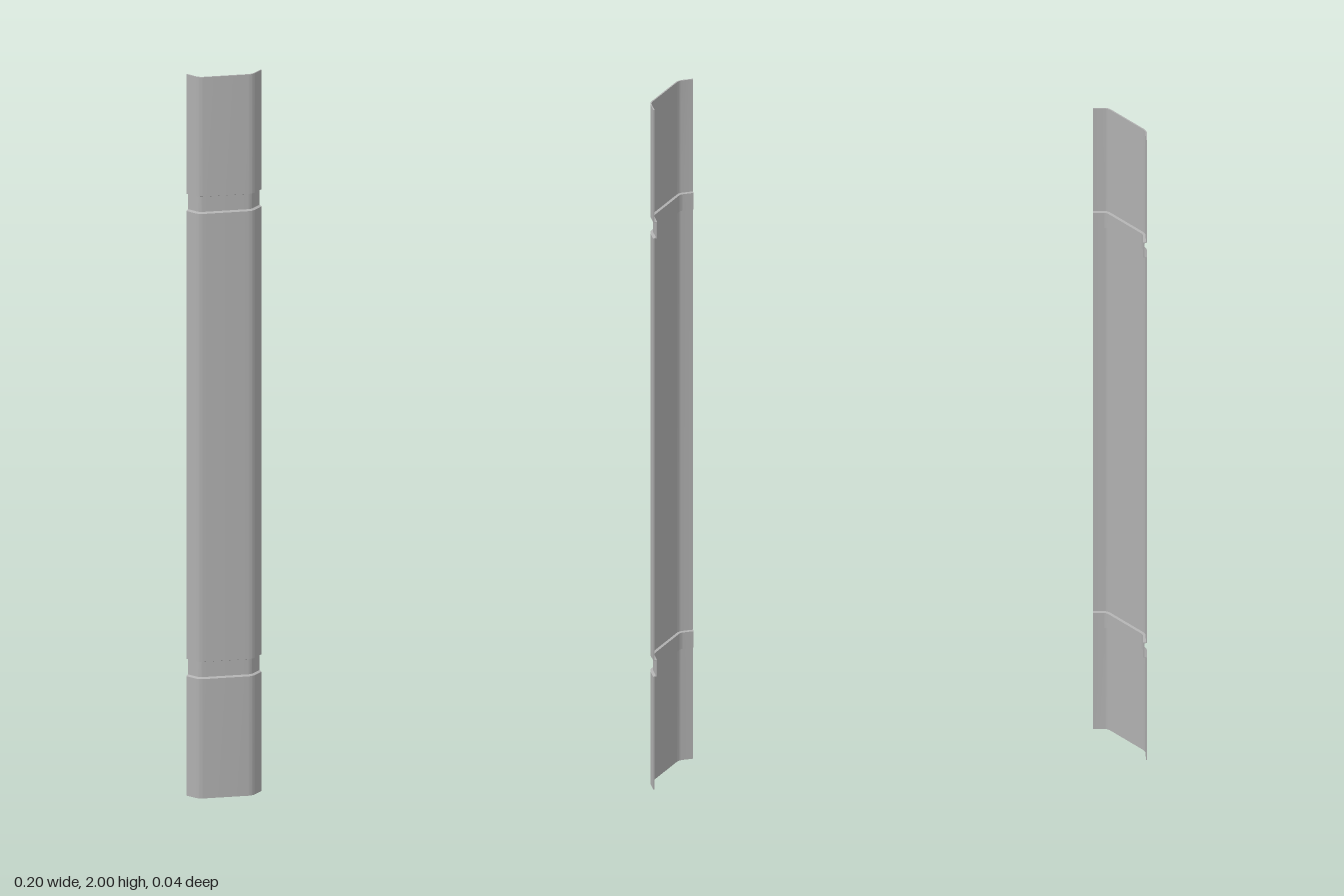
import * as THREE from 'three';
import { toCreasedNormals } from 'three/addons/utils/BufferGeometryUtils.js';

const THICK = 0.0035; // sheet thickness
const DEPTH = 0.007; // groove depth
const RADIUS = 0.028; // outer bend radius
const ARM = 0.028; // length of each angled flange
const CX = 0.0589, CZ = -0.0103; // bend centre
const ARC = 5;

// Bent sheet line, moved inward by d, from -x to +x
function bentLine(d) {
  const half = [];
  const r = RADIUS - d;
  for (let i = 0; i <= ARC; i++) {
    const a = (Math.PI / 4) * (1 - i / ARC);
    half.push([-CX - r * Math.sin(a), CZ + r * Math.cos(a)]);
  }
  const k = ARM * Math.SQRT1_2;
  half.unshift([half[0][0] - k, half[0][1] - k]);
  return half.concat(half.map(([x, z]) => [-x, z]).reverse());
}

// Stations up the panel: height, front offset, back offset
function stations() {
  const list = [[0, 0, THICK]];
  for (const y of [0.33, 1.62]) {
    const back = THICK + DEPTH;
    list.push(
      [y, 0, THICK],
      [y + 0.001, 0, back],
      [y + 0.004, DEPTH, back],
      [y + 0.046, DEPTH, back],
      [y + 0.049, 0, back],
      [y + 0.05, 0, THICK],
    );
  }
  list.push([2, 0, THICK]);
  return list;
}

// Closed loft through the stations, with both ends capped
function panelGeometry() {
  const rows = stations();
  const pos = [], index = [];
  let n = 0;
  for (const [y, f, b] of rows) {
    const ring = bentLine(f).concat(bentLine(b).reverse());
    n = ring.length;
    for (const [x, z] of ring) pos.push(x, y, z);
  }
  const quad = (a, b, c, d) => index.push(a, b, c, a, c, d);
  for (let j = 0; j < rows.length - 1; j++) {
    for (let i = 0; i < n; i++) {
      const k = (i + 1) % n;
      quad(j * n + i, j * n + k, (j + 1) * n + k, (j + 1) * n + i);
    }
  }
  const top = (rows.length - 1) * n;
  for (let i = 0; i < n / 2 - 1; i++) {
    quad(top + i, top + i + 1, top + n - 2 - i, top + n - 1 - i);
    quad(n - 1 - i, n - 2 - i, i + 1, i);
  }
  const g = new THREE.BufferGeometry();
  g.setAttribute('position', new THREE.Float32BufferAttribute(pos, 3));
  g.setIndex(index);
  return toCreasedNormals(g, 0.4);
}

export function createModel() {
  const group = new THREE.Group();
  group.name = 'bentPanel';
  const steel = new THREE.MeshStandardMaterial({ color: 0xb0b0b0 });
  steel.name = 'grey steel';
  const panel = new THREE.Mesh(panelGeometry(), steel);
  panel.name = 'groovedSheet';
  group.add(panel);
  return group;
}
